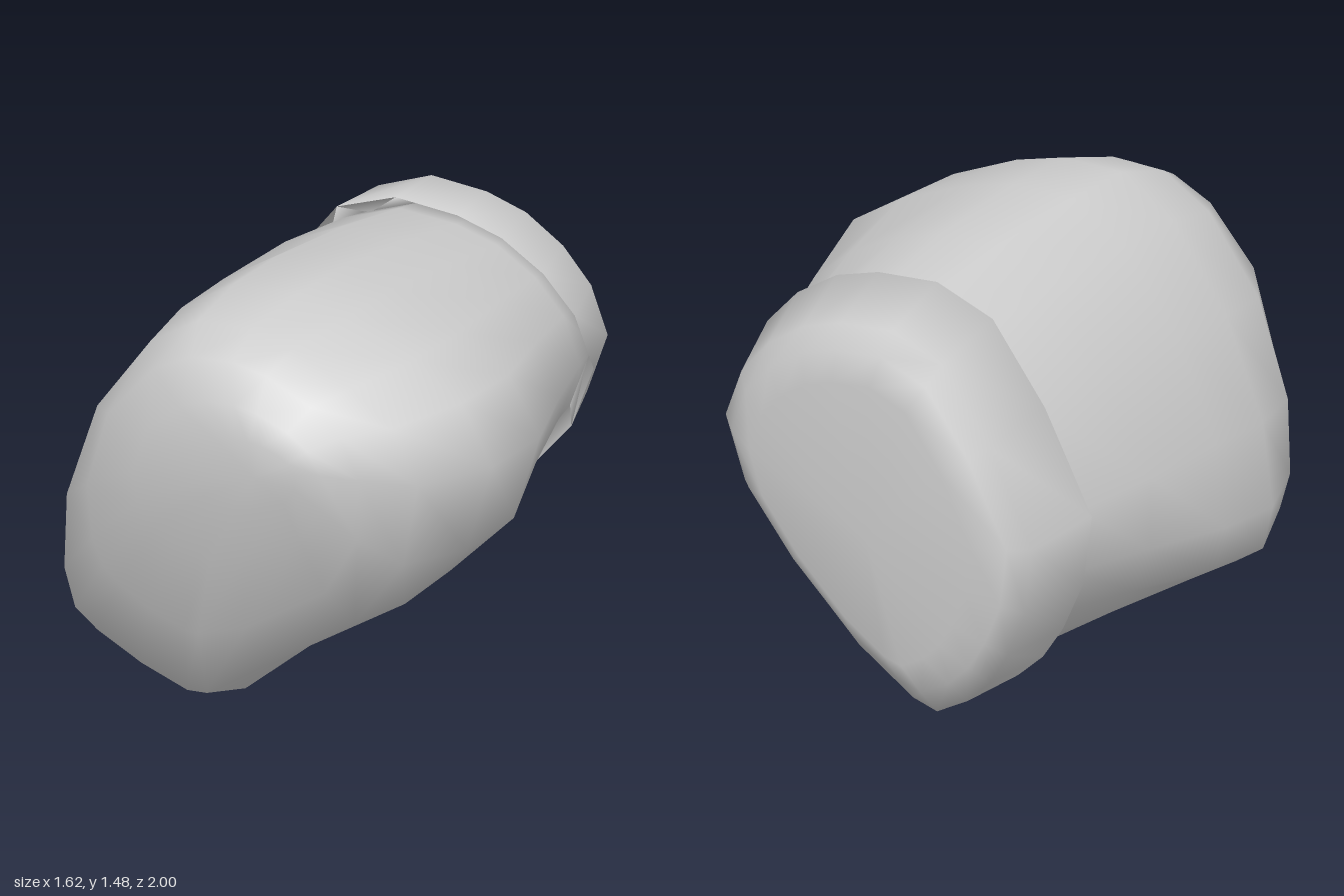
import * as THREE from 'three';

const material = new THREE.MeshStandardMaterial({ color: 0xcccccc, side: THREE.DoubleSide });

// Matching outlines in x, y, clockwise seen from the front
const middleOutline = [
  [-0.19, 1.48], [0.05, 1.48], [0.24, 1.43], [0.5, 1.32], [0.69, 1.2], [0.81, 0.99],
  [0.71, 0.67], [0.47, 0.43], [0.1, 0.21], [-0.15, 0.01], [-0.24, 0], [-0.45, 0.07],
  [-0.66, 0.16], [-0.77, 0.23], [-0.81, 0.39], [-0.77, 0.69], [-0.62, 1.05], [-0.4, 1.35],
];
const backOutline = [
  [-0.14, 1.43], [0.1, 1.41], [0.27, 1.36], [0.43, 1.26], [0.55, 1.13], [0.62, 0.95],
  [0.53, 0.72], [0.3, 0.46], [0, 0.2], [-0.25, 0.05], [-0.36, 0.02], [-0.5, 0.09],
  [-0.6, 0.18], [-0.68, 0.3], [-0.76, 0.48], [-0.79, 0.73], [-0.59, 1.08], [-0.37, 1.35],
];

// Scales an outline to the unit square
function unit(outline) {
  const box = new THREE.Box2().setFromPoints(outline.map(p => new THREE.Vector2(...p)));
  const size = box.getSize(new THREE.Vector2());
  return outline.map(([x, y]) => [(x - box.min.x) / size.x, (y - box.min.y) / size.y]);
}

// Cross-section shapes: 0 back, 1 middle, 2 round
const backShape = unit(backOutline), middleShape = unit(middleOutline);
const roundShape = middleShape.map(([u, v]) => {
  const r = 2 * Math.hypot(u - 0.5, v - 0.5);
  return [0.5 + (u - 0.5) / r, 0.5 + (v - 0.5) / r];
});

// Lofts rings [z, xMin, xMax, yMin, yMax, shape, tilt], back to front
function loft(name, rings, backTip, frontTip) {
  const n = middleShape.length, pos = [], index = [];
  for (const [z, x0, x1, y0, y1, shape, tilt = 0] of rings) {
    const [from, to, t] = shape <= 1
      ? [backShape, middleShape, shape] : [middleShape, roundShape, shape - 1];
    for (let j = 0; j < n; j++) {
      const x = x0 + THREE.MathUtils.lerp(from[j][0], to[j][0], t) * (x1 - x0);
      const y = y0 + THREE.MathUtils.lerp(from[j][1], to[j][1], t) * (y1 - y0);
      pos.push(x, y, z + tilt * 0.03 * (x + y - 0.7));
    }
  }
  for (let i = 0; i < rings.length - 1; i++) {
    for (let j = 0; j < n; j++) {
      const a = i * n + j, b = i * n + (j + 1) % n;
      index.push(a, a + n, b, b, a + n, b + n);
    }
  }
  // Fans closing the ends
  const last = (rings.length - 1) * n, back = rings.length * n;
  pos.push(...backTip);
  if (frontTip) pos.push(...frontTip);
  for (let j = 0; j < n; j++) {
    const k = (j + 1) % n;
    index.push(back, j, k);
    if (frontTip) index.push(back + 1, last + k, last + j);
  }
  const geometry = new THREE.BufferGeometry();
  geometry.setAttribute('position', new THREE.Float32BufferAttribute(pos, 3));
  geometry.setIndex(index);
  geometry.computeVertexNormals();
  const mesh = new THREE.Mesh(geometry, material);
  mesh.name = name;
  return mesh;
}

export function createModel() {
  const group = new THREE.Group();
  group.name = 'paddedForm';

  // Rounded main volume, swelling toward the front
  group.add(loft('body', [
    [-0.78, -0.7, 0.49, 0.1, 1.33, 0],
    [-0.56, -0.735, 0.55, 0.08, 1.38, 0],
    [-0.18, -0.785, 0.67, 0.05, 1.445, 0.4],
    [0.23, -0.81, 0.81, 0.035, 1.48, 1],
    [0.52, -0.81, 0.78, 0, 1.48, 1],
    [0.74, -0.755, 0.62, 0.055, 1.42, 1.25],
    [0.88, -0.59, 0.48, 0.33, 1.35, 1.6],
    [0.96, -0.37, 0.37, 0.65, 1.23, 1.7],
    [0.99, -0.12, 0.28, 0.86, 1.12, 1.7],
  ], [-0.1, 0.75, -0.78], [0.12, 1, 1]));

  // Overlapping back cap with a flared lip folded back to the body
  group.add(loft('cuff', [
    [-0.985, -0.57, 0.33, 0.22, 1.2, 0, 0.5],
    [-0.94, -0.69, 0.43, 0.12, 1.3, 0, 0.5],
    [-0.885, -0.76, 0.49, 0.04, 1.38, 0, 0.5],
    [-0.55, -0.79, 0.62, 0.02, 1.43, 0, 1],
    [-0.74, -0.7, 0.5, 0.11, 1.335, 0, 1],
  ], [-0.15, 0.65, -0.995]));

  return group;
}
